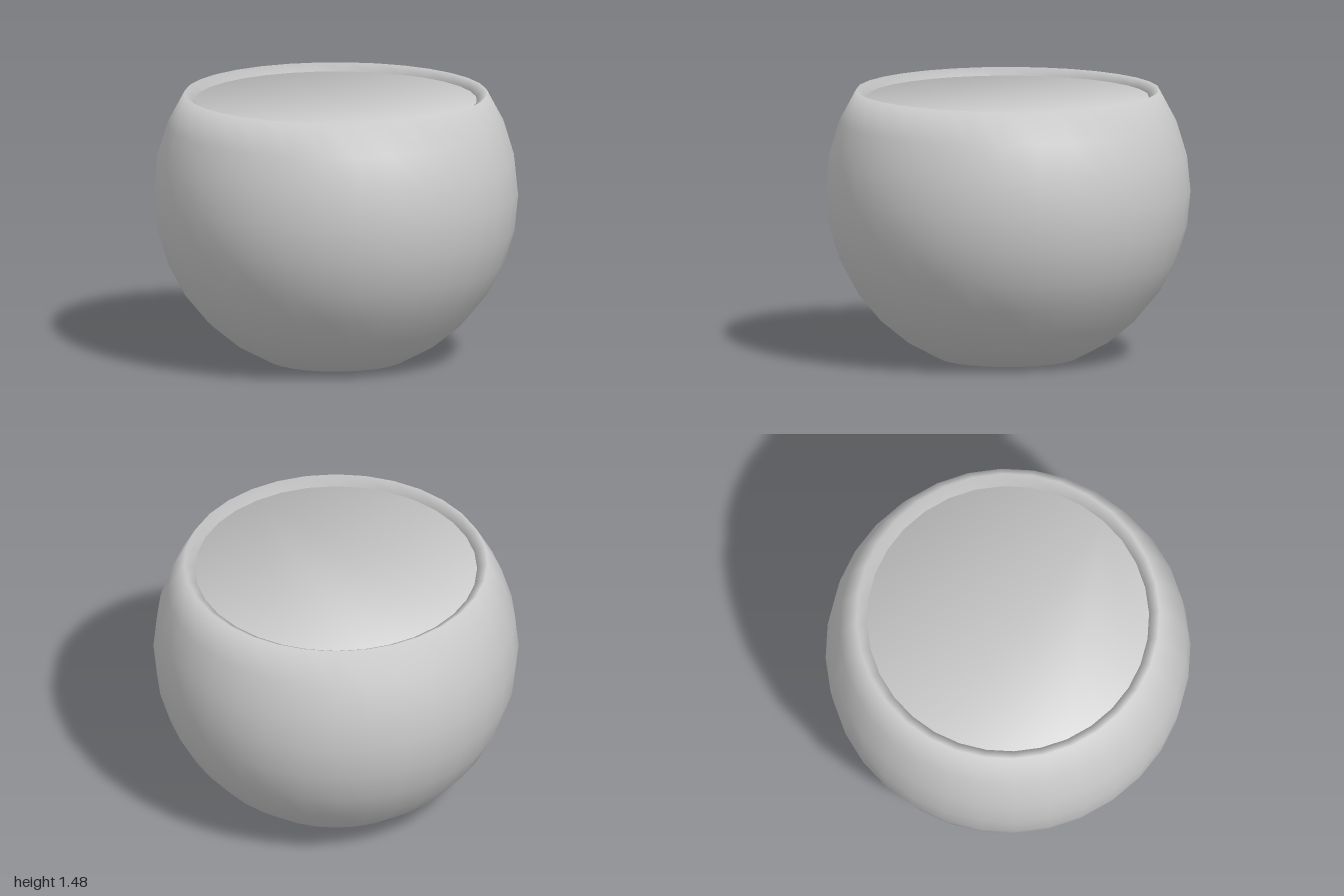
import * as THREE from 'three';

const SIDES = 32;
const STEP = Math.PI / 16;
const CENTRE_Y = Math.sin(6 * STEP);

// Sphere rings from 67.5 degrees below the equator to 33.75 degrees above it
function ringProfile(radius) {
  const points = [];
  for (let i = -6; i <= 3; i++) {
    points.push(new THREE.Vector2(radius * Math.cos(i * STEP), CENTRE_Y + radius * Math.sin(i * STEP)));
  }
  return points;
}

// Turned solid with a flat base facing down at the first ring and a flat cap
// facing up at the last one, shaded smoothly across all its edges
function turnedSolid(name, points) {
  const geometry = new THREE.LatheGeometry(points, SIDES);
  const rows = points.length;

  // Caps as fans over the end rings
  const index = [...geometry.index.array];
  for (let i = 1; i < SIDES - 1; i++) {
    index.push(0, (i + 1) * rows, i * rows);
    index.push(rows - 1, (i + 1) * rows - 1, (i + 2) * rows - 1);
  }
  geometry.setIndex(index);

  // Each ring's normal is the even average of the two faces that meet there
  const faces = [new THREE.Vector2(0, -1)];
  for (let j = 1; j < rows; j++) {
    const d = points[j].clone().sub(points[j - 1]).normalize();
    faces.push(new THREE.Vector2(d.y, -d.x));
  }
  faces.push(new THREE.Vector2(0, 1));
  for (let i = 0; i <= SIDES; i++) {
    const angle = (i / SIDES) * Math.PI * 2;
    for (let j = 0; j < rows; j++) {
      const n = faces[j].clone().add(faces[j + 1]).normalize();
      geometry.attributes.normal.setXYZ(i * rows + j, n.x * Math.sin(angle), n.y, n.x * Math.cos(angle));
    }
  }

  const mesh = new THREE.Mesh(geometry, new THREE.MeshStandardMaterial({ color: 0xcccccc }));
  mesh.name = name;
  return mesh;
}

export function createModel() {
  const group = new THREE.Group();
  group.name = 'roundBowl';

  // Bowl: round outside, rim sloping inwards, inner wall and floor
  group.add(turnedSolid('bowl', [...ringProfile(1), ...ringProfile(0.93).reverse()]));

  // Filling: fits the inner wall, with a level top at the inner edge of the rim
  group.add(turnedSolid('filling', ringProfile(0.93)));

  return group;
}
